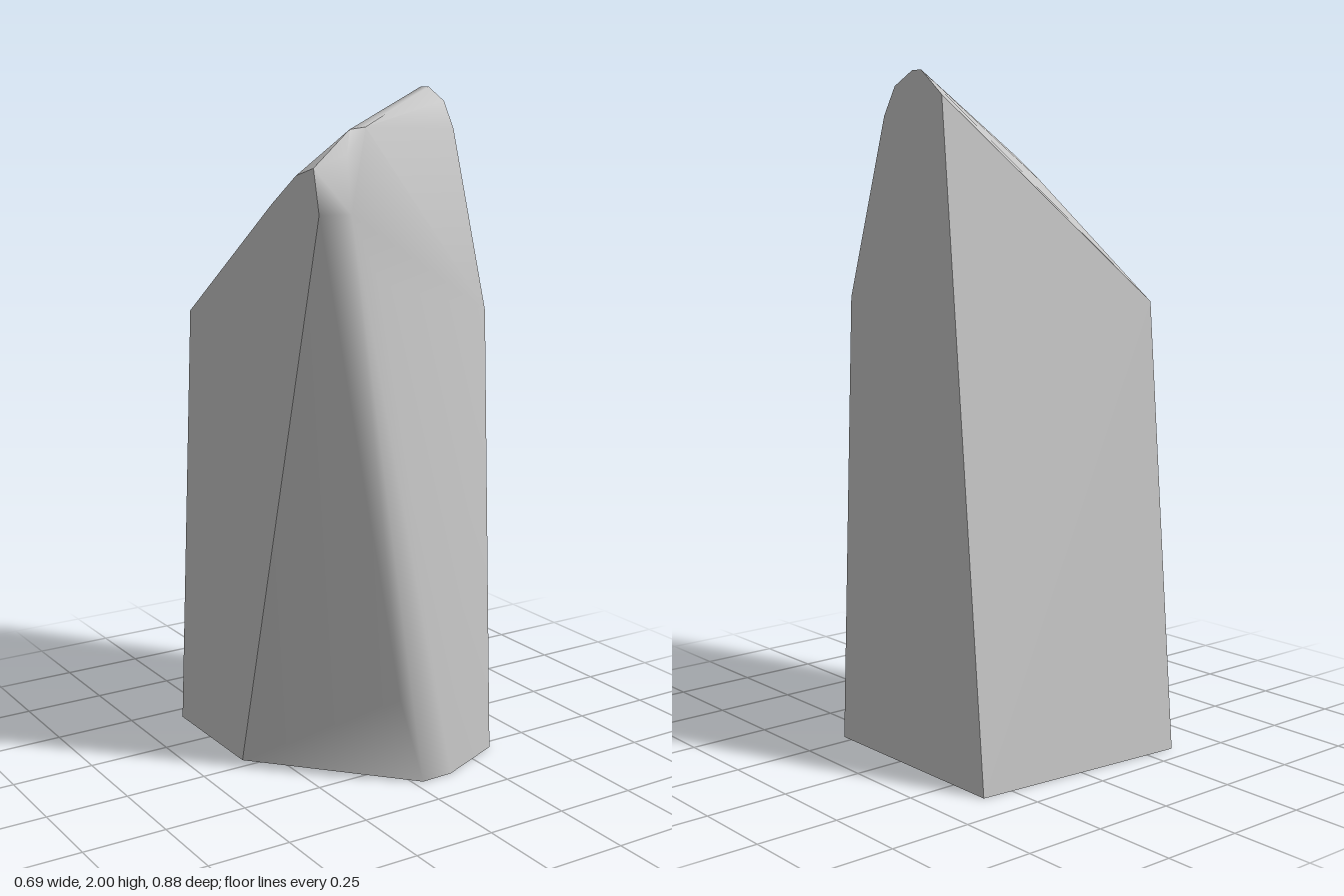
import * as THREE from 'three';
import { ConvexGeometry } from 'three/addons/geometries/ConvexGeometry.js';

const W = 0.347; // half width between the two flat side faces

// Side outlines as [z, y]
const rightCut = [[-0.44, 0], [-0.325, 1.345], [0.17, 1.70], [0.30, 1.785], [0.39, 1.81], [0.417, 1.69], [-0.04, 0]];
const leftCut = [[-0.385, 0], [-0.21, 1.93], [-0.12, 2], [-0.08, 2], [0, 1.96], [0.05, 1.88], [0.22, 1.36], [0.285, 0]];

// Worn front edge and rounded upper corner as [x, y, z]
const frontEdge = [
  [0.03, 0, 0.38], [0.132, 0, 0.377], [-0.06, 0.28, 0.387],
  [-0.16, 1.5, 0.42], [-0.26, 1.69, 0.437],
  [-0.25, 1.84, 0.40], [-0.22, 1.905, 0.365], [-0.17, 1.91, 0.365],
];

// Smooth normals weighted by face area, so large faces stay flat and the narrow
// worn strips blend between them; the side cuts and steep edges stay sharp
function smoothWornEdges(geometry, maxAngle) {
  const pos = geometry.attributes.position;
  const corner = (i) => new THREE.Vector3().fromBufferAttribute(pos, i);
  const faces = [];
  for (let i = 0; i < pos.count; i += 3) {
    const corners = [corner(i), corner(i + 1), corner(i + 2)];
    const [a, b, c] = corners;
    const area = b.clone().sub(a).cross(c.clone().sub(a));
    faces.push({ corners, area, isCut: Math.abs(area.x) > 0.98 * area.length() });
  }
  const normals = [];
  for (const face of faces) {
    for (const p of face.corners) {
      const sum = new THREE.Vector3();
      for (const other of faces) {
        if (other.isCut === face.isCut && other.area.angleTo(face.area) < maxAngle
          && other.corners.some((q) => q.distanceTo(p) < 1e-5)) sum.add(other.area);
      }
      normals.push(...sum.normalize().toArray());
    }
  }
  geometry.setAttribute('normal', new THREE.Float32BufferAttribute(normals, 3));
  return geometry;
}

export function createModel() {
  const group = new THREE.Group();
  group.name = 'standingStone';

  const stone = new THREE.MeshStandardMaterial({ color: 0xc6c6c6 });
  stone.name = 'pale stone grey';

  // The stone is the convex body around its side faces and front edge
  const points = [
    ...rightCut.map(([z, y]) => new THREE.Vector3(-W, y, z)),
    ...leftCut.map(([z, y]) => new THREE.Vector3(W, y, z)),
    ...frontEdge.map((p) => new THREE.Vector3(...p)),
  ];
  const geometry = smoothWornEdges(new ConvexGeometry(points), THREE.MathUtils.degToRad(52));

  const body = new THREE.Mesh(geometry, stone);
  body.name = 'stoneBody';
  group.add(body);
  return group;
}
